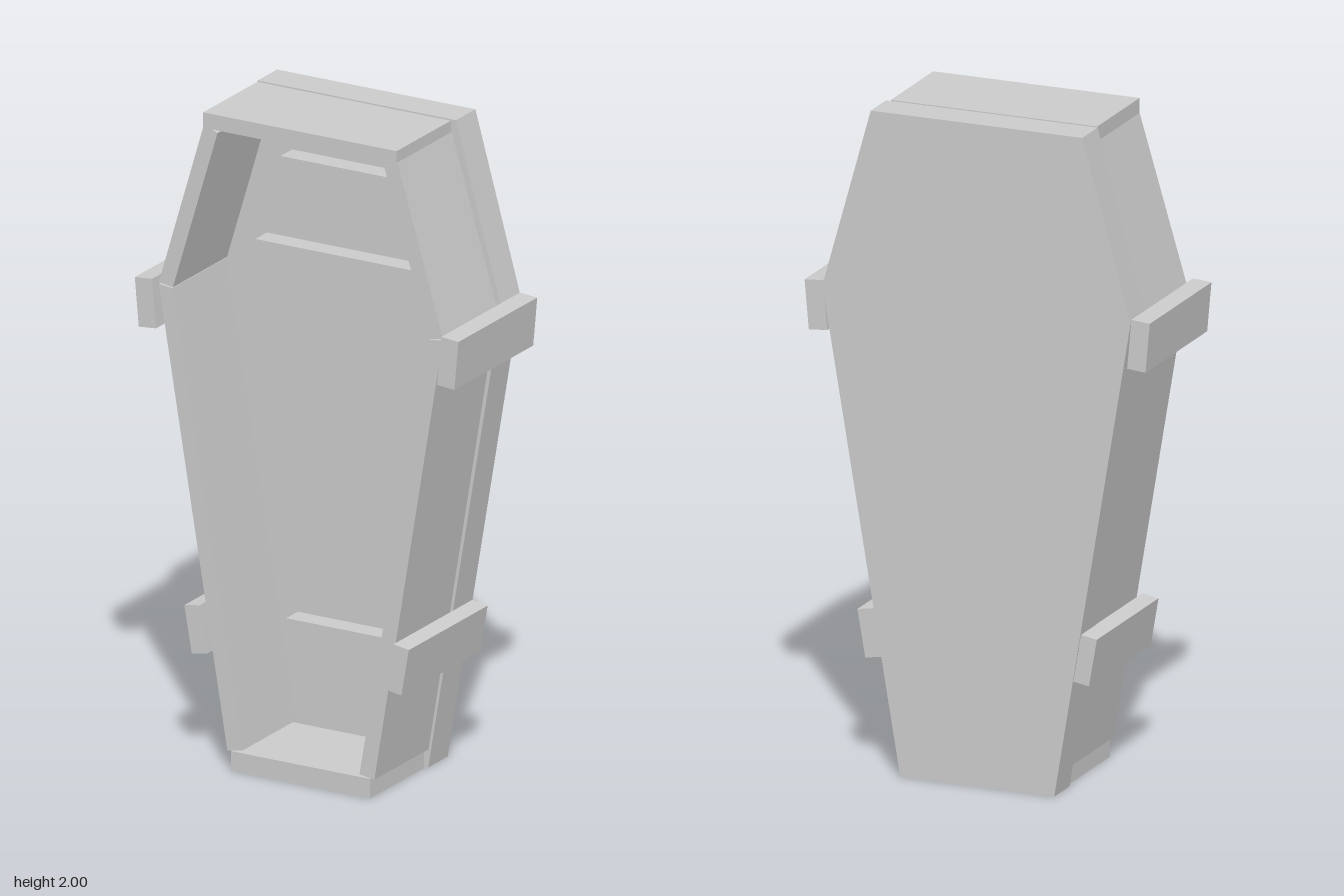
import * as THREE from 'three';

const material = new THREE.MeshStandardMaterial({ color: 0xcccccc, flatShading: true });

// Board with the given front outline, running from z0 to z1
function board(name, points, z0, z1) {
  const shape = new THREE.Shape(points.map(([x, y]) => new THREE.Vector2(x, y)));
  const geometry = new THREE.ExtrudeGeometry(shape, { depth: z1 - z0, bevelEnabled: false });
  geometry.translate(0, 0, z0);
  const mesh = new THREE.Mesh(geometry, material);
  mesh.name = name;
  return mesh;
}

// Box given by its limits along each axis
function box(name, x0, x1, y0, y1, z0, z1) {
  const mesh = new THREE.Mesh(new THREE.BoxGeometry(x1 - x0, y1 - y0, z1 - z0), material);
  mesh.position.set((x0 + x1) / 2, (y0 + y1) / 2, (z0 + z1) / 2);
  mesh.name = name;
  return mesh;
}

export function createModel() {
  const model = new THREE.Group();
  model.name = 'coffin';
  const wallBack = -0.105, wallFront = 0.2, panelFront = -0.115;

  // Six-sided back panel
  model.add(board('backPanel', [
    [-0.245, 0], [0.24, 0], [0.485, 1.455], [0.333, 2], [-0.333, 2], [-0.485, 1.455],
  ], -0.225, panelFront));

  // End walls
  model.add(box('topWall', -0.328, 0.322, 1.953, 2, wallBack, wallFront));
  model.add(box('bottomWall', -0.235, 0.232, 0, 0.06, wallBack, wallFront));

  for (const [side, s] of [['left', 1], ['right', -1]]) {
    const mirrored = (points) => points.map(([x, y]) => [s * x, y]);

    // Side walls, meeting at the shoulder
    model.add(board(side + 'UpperWall', mirrored([
      [0.43, 1.445], [0.477, 1.453], [0.325, 1.965], [0.28, 1.945],
    ]), wallBack, wallFront));
    model.add(board(side + 'LowerWall', mirrored([
      [0.197, 0.068], [0.247, 0.06], [0.477, 1.448], [0.432, 1.442],
    ]), wallBack, wallFront));

    // Tilted outer straps
    for (const [name, x, y, width, height, tilt] of [
      ['UpperStrap', 0.508, 1.391, 0.058, 0.15, 0.09],
      ['LowerStrap', 0.339, 0.421, 0.052, 0.146, 0.17],
    ]) {
      const strap = box(side + name, -width / 2, width / 2, -height / 2, height / 2, -0.22, 0.224);
      strap.position.x = s * x;
      strap.position.y = y;
      strap.rotation.z = -s * tilt;
      model.add(strap);
    }
  }

  // Battens on the inside of the back panel
  for (const [name, x0, x1, y0, y1] of [
    ['topBatten', -0.217, 0.212, 1.69, 1.81],
    ['middleBatten', -0.302, 0.293, 1.42, 1.54],
    ['bottomBatten', -0.198, 0.187, 0.275, 0.397],
  ]) model.add(box(name, x0, x1, y0, y1, panelFront - 0.01, panelFront + 0.065));

  return model;
}
